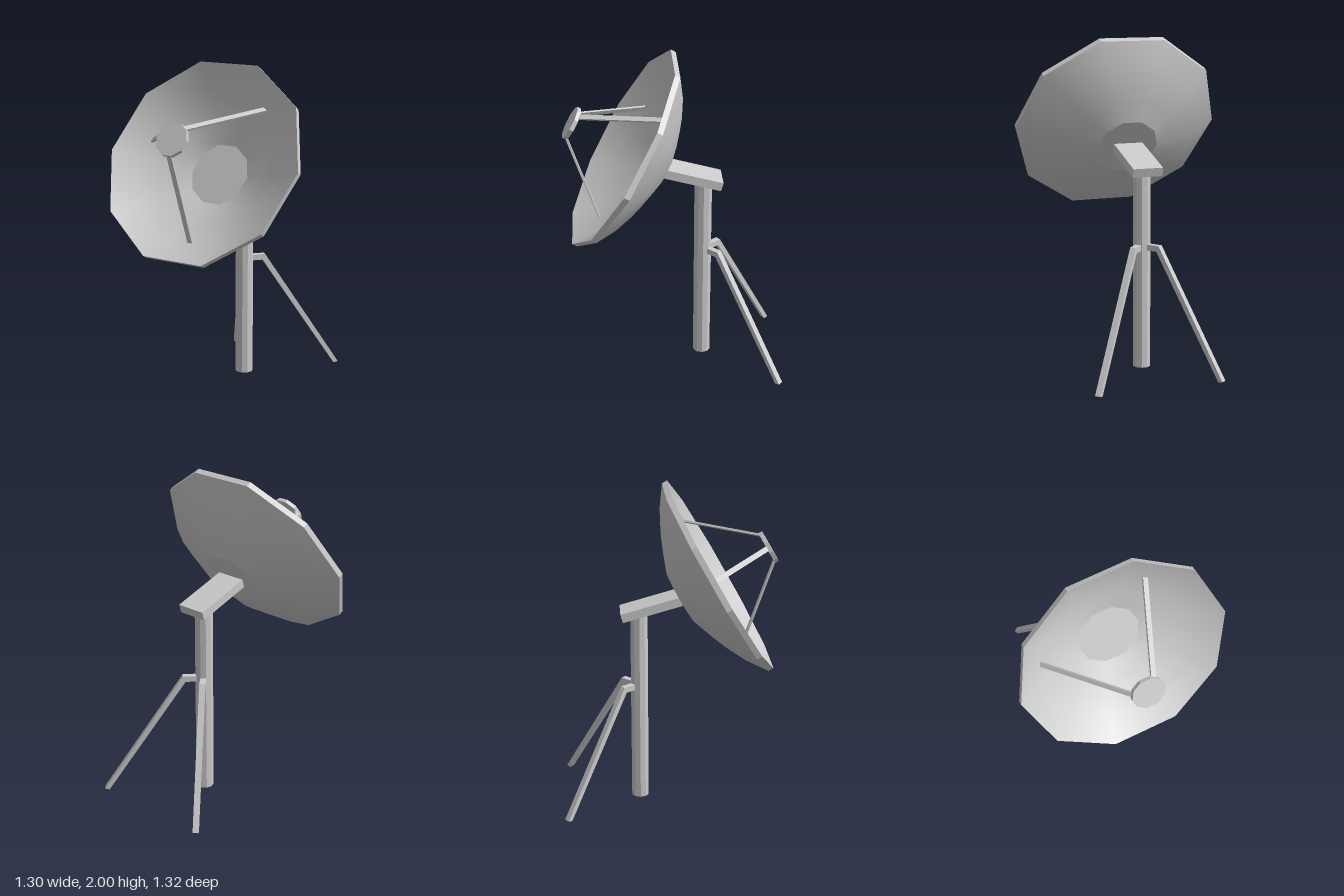
import * as THREE from 'three';

const material = new THREE.MeshStandardMaterial({ color: 0xcccccc });
const SIDES = 10;
const V = (x, y, z) => new THREE.Vector3(x, y, z);

function add(parent, name, geometry, position = V(0, 0, 0)) {
  const mesh = new THREE.Mesh(geometry, material);
  mesh.name = name;
  mesh.position.copy(position);
  parent.add(mesh);
  return mesh;
}

// Ten-sided surface of revolution with corners on the x axis
function revolve(profile, flat) {
  const points = profile.map(([r, y]) => new THREE.Vector2(r, y));
  let geometry = new THREE.LatheGeometry(points, SIDES, Math.PI / 2);
  if (flat) {
    geometry = geometry.toNonIndexed();
    geometry.computeVertexNormals();
  }
  return geometry;
}

// Ten-sided flat-faced prism
function prism(radius, height) {
  const geometry = new THREE.CylinderGeometry(
    radius, radius, height, SIDES, 1, false, Math.PI / 2).toNonIndexed();
  geometry.computeVertexNormals();
  return geometry;
}

// Rectangular bar through sections { p: centre, s: half side, o: half depth }
function bar(sections) {
  const rings = sections.map(({ p, s, o }) =>
    [[1, 1], [-1, 1], [-1, -1], [1, -1]].map(([a, b]) =>
      p.clone().addScaledVector(s, a).addScaledVector(o, b)));
  const corners = [];
  const quad = (a, b, c, d) => corners.push(a, b, c, a, c, d);
  for (let i = 0; i < rings.length - 1; i++) {
    const A = rings[i], B = rings[i + 1];
    for (let k = 0; k < 4; k++) {
      const n = (k + 1) % 4;
      quad(A[k], A[n], B[n], B[k]);
    }
  }
  quad(...rings[0].slice().reverse());
  quad(...rings[rings.length - 1]);
  const geometry = new THREE.BufferGeometry().setFromPoints(corners);
  geometry.computeVertexNormals();
  return geometry;
}

function createDish() {
  const dish = new THREE.Group();
  dish.name = 'dish';
  // Bowl: smooth outer and inner skins, flat centres and a faceted rim
  const outer = [[0.195, -0.272], [0.31, -0.228], [0.4, -0.19], [0.53, -0.122], [0.652, -0.035]];
  const inner = [[0.652, 0], [0.53, -0.09], [0.4, -0.155], [0.31, -0.193], [0.195, -0.237]];
  add(dish, 'bowlBack', revolve(outer));
  add(dish, 'bowlFront', revolve(inner));
  add(dish, 'bowlRim', revolve([[0.652, -0.035], [0.652, 0]], true));
  add(dish, 'bowlBackCentre', revolve([[0, -0.272], [0.195, -0.272]]));
  add(dish, 'bowlFrontCentre', revolve([[0.195, -0.237], [0, -0.237]]));

  // Small reflector held on the axis by three flat struts
  add(dish, 'subReflector', prism(0.103, 0.024), V(0, 0.333, 0));
  for (const degrees of [56, 164.6, 272]) {
    const angle = THREE.MathUtils.degToRad(degrees);
    const radial = V(Math.cos(angle), 0, -Math.sin(angle));
    const start = radial.clone().multiplyScalar(0.09).setY(0.325);
    const end = radial.clone().multiplyScalar(0.48).setY(-0.118);
    const along = end.clone().sub(start).normalize();
    const side = V(0, 1, 0).cross(radial).multiplyScalar(0.016);
    const depth = along.clone().cross(side).normalize().multiplyScalar(0.006);
    add(dish, 'strut', bar([{ p: start, s: side, o: depth }, { p: end, s: side, o: depth }]));
  }
  return dish;
}

// Bent rear leg: short level arm from the post, then a slope to the ground
function legGeometry(centre, foot) {
  const out = foot.clone().sub(centre).setY(0).normalize();
  const side = V(0, 1, 0).cross(out).multiplyScalar(0.018);
  const at = (distance, y) => centre.clone().addScaledVector(out, distance).setY(y);
  return bar([
    { p: at(0.03, 0.754), s: side, o: V(0, 0.018, 0) },
    { p: at(0.124, 0.754), s: side, o: out.clone().multiplyScalar(0.008).setY(0.018) },
    { p: foot, s: side, o: out.clone().multiplyScalar(0.014).setY(0.003) },
  ]);
}

export function createModel() {
  const model = new THREE.Group();
  model.name = 'dishAntenna';

  // Dish tilted 30 degrees upward
  const dish = createDish();
  dish.position.set(0, 1.46, 0.31);
  dish.rotation.x = Math.PI / 3;
  model.add(dish);

  // Slanted bracket between dish and post
  const bracket = add(model, 'bracket', new THREE.BoxGeometry(0.186, 0.055, 0.375), V(0, 1.272, -0.112));
  bracket.rotation.x = -0.274;

  // Post and its two rear legs
  const centre = V(0, 0, -0.185);
  add(model, 'post', prism(0.055, 1.23), V(0, 0.615, -0.185));
  add(model, 'leftLeg', legGeometry(centre, V(0.425, 0.003, -0.637)));
  add(model, 'rightLeg', legGeometry(centre, V(-0.34, 0.003, -0.642)));

  return model;
}
